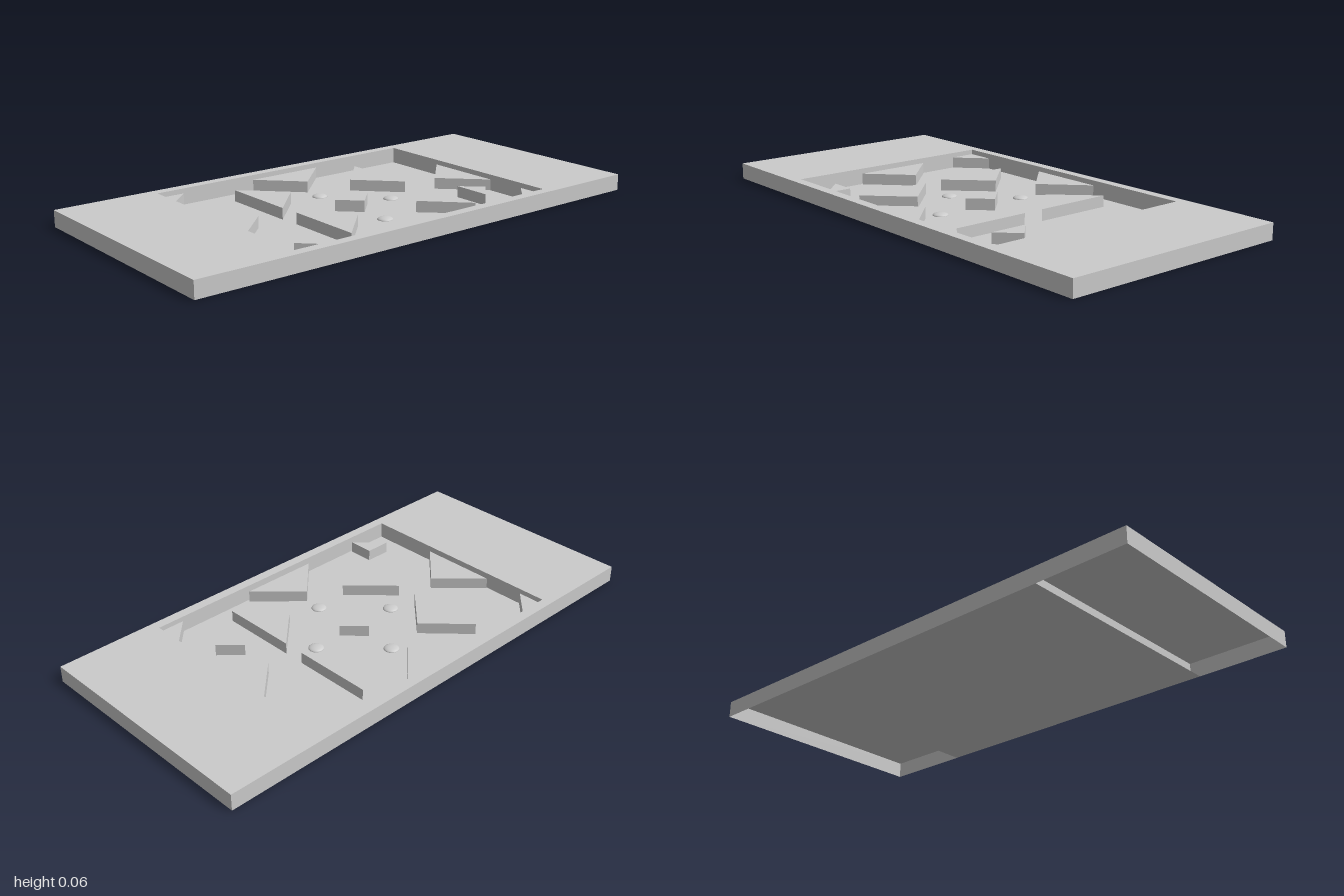
import * as THREE from 'three';

const W = 0.48, L = 1, H = 0.065;      // half width, half length, height
const PW = 0.44, PL = 0.595;           // half size of the sunken court
const BLOCK = 0.045;                   // height of the raised blocks

const thin = new THREE.MeshStandardMaterial({ color: 0xcccccc, side: THREE.DoubleSide });
const solid = new THREE.MeshStandardMaterial({ color: 0xcccccc, flatShading: true });
const smooth = new THREE.MeshStandardMaterial({ color: 0xcccccc });

export function createModel() {
  const group = new THREE.Group();
  const add = (name, geometry, material) => {
    const mesh = new THREE.Mesh(geometry, material);
    mesh.name = name;
    group.add(mesh);
    return mesh;
  };
  // points are [x, z] seen from above
  const outline = (points) => new THREE.Shape(points.map(([x, z]) => new THREE.Vector2(x, -z)));
  const rect = (w, l) => [[-w, -l], [w, -l], [w, l], [-w, l]];

  // top deck with the court opening
  const deck = outline(rect(W, L));
  deck.holes.push(outline(rect(PW, PL)));
  add('topDeck', new THREE.ShapeGeometry(deck).rotateX(-Math.PI / 2).translate(0, H, 0), thin);

  // court floor, also the underside of the middle section
  add('courtFloor', new THREE.PlaneGeometry(2 * W, 1.27).rotateX(-Math.PI / 2), thin);

  // thin upright walls: outer skirt, court sides and cross walls
  for (const s of [-1, 1]) {
    for (const [name, z, w] of [['outerEndWall', L, W], ['crossWall', PL, W]]) {
      add(name, new THREE.PlaneGeometry(2 * w, H).translate(0, H / 2, s * z), thin);
    }
    for (const [name, x, l] of [['outerSideWall', W, L], ['courtSideWall', PW, PL]]) {
      add(name, new THREE.PlaneGeometry(2 * l, H).rotateY(Math.PI / 2).translate(s * x, H / 2, 0), thin);
    }
  }

  // raised blocks standing on the floor
  const blocks = {
    centreBlock: [[0, -0.08], [0.08, 0], [0, 0.08], [-0.08, 0]],
    backLeftTriangle: [[0.05, -0.305], [0.365, -0.305], [0.205, -0.15]],
    backRightTriangle: [[-0.355, -0.305], [-0.035, -0.305], [-0.195, -0.15]],
    frontLeftTriangle: [[0.045, 0.295], [0.365, 0.295], [0.205, 0.135]],
    frontRightTriangle: [[-0.355, 0.3], [-0.035, 0.3], [-0.195, 0.145]],
    backEdgeTriangle: [[-0.16, -PL], [0.16, -PL], [0, -0.435]],
    frontEdgeTriangle: [[-0.165, 0.59], [0.15, 0.59], [-0.005, 0.43]],
    leftEdgeTriangle: [[0.43, -0.165], [0.43, 0.155], [0.27, 0]],
    rightEdgeTriangle: [[-PW, -0.165], [-PW, 0.155], [-0.28, 0]],
    smallTriangle: [[0.15, -0.42], [0.305, -0.42], [0.225, -0.5]],
    backCornerBlock: [[0.325, -PL], [PW, -PL], [PW, -0.485]],
    frontRightCornerBlock: [[-PW, 0.48], [-PW, PL], [-0.33, PL]],
    frontLeftCornerBlock: [[0.33, 0.41], [0.435, 0.41], [0.33, 0.515]],
  };
  for (const [name, points] of Object.entries(blocks)) {
    const geometry = new THREE.ExtrudeGeometry(outline(points), { depth: BLOCK, bevelEnabled: false });
    add(name, geometry.rotateX(-Math.PI / 2), solid);
  }

  // low round studs around the centre
  for (const [x, z] of [[0.2, 0], [-0.2, 0], [0, 0.2], [0, -0.2]]) {
    const dome = new THREE.SphereGeometry(0.03, 24, 8, 0, Math.PI * 2, 0, Math.PI / 2);
    add('stud', dome.scale(1, 0.35, 1), smooth).position.set(x, 0, z);
  }
  return group;
}
